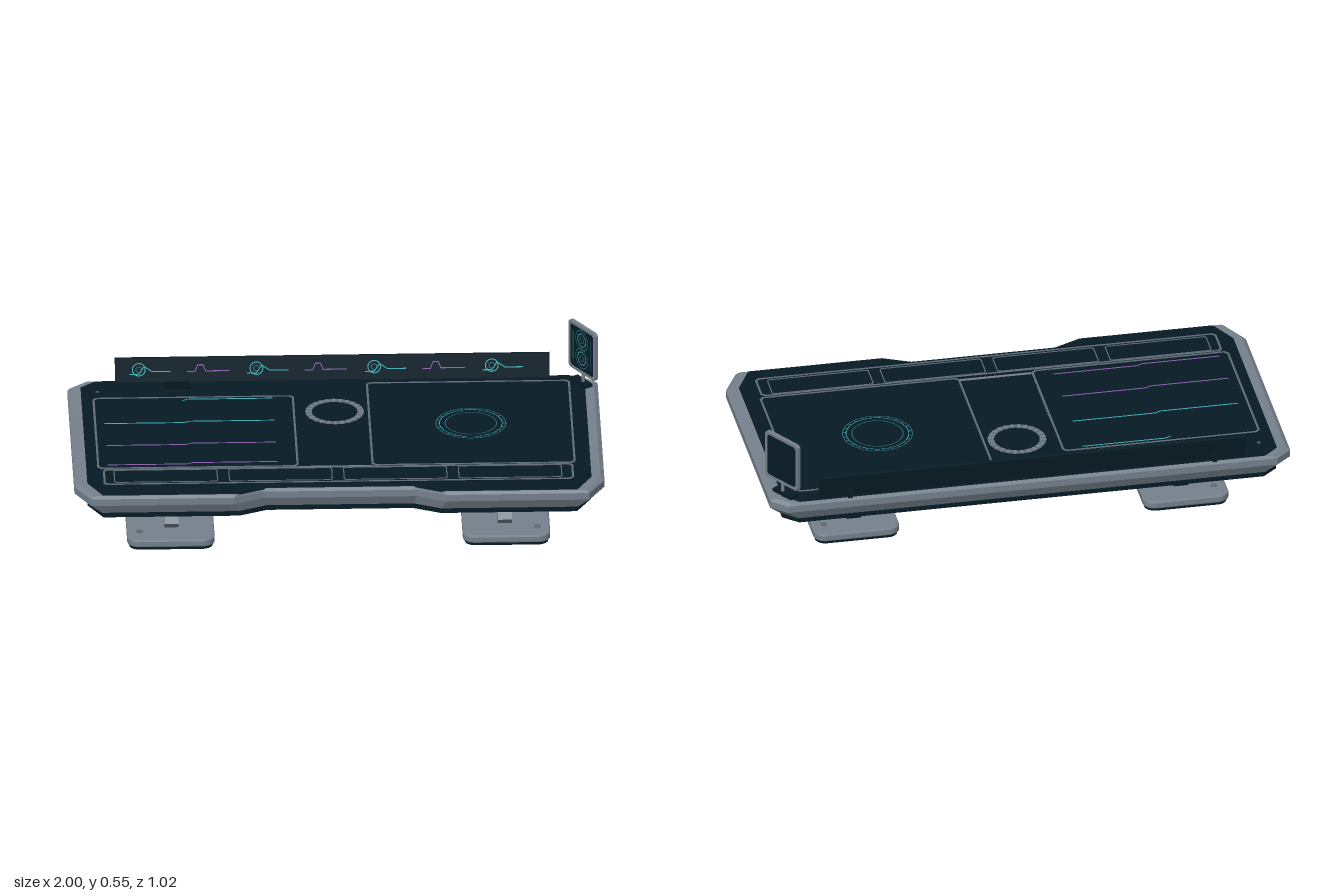
import * as THREE from 'three';

const mat = (name, color) => Object.assign(new THREE.MeshStandardMaterial({ color }), { name });

export function createModel() {
  const navy = mat('navy', 0x061b25);
  const screenDark = mat('screen dark', 0x04141c);
  const grey = mat('grey metal', 0x75818d);
  const slate = mat('slate trim', 0x5e6b76);
  const teal = mat('teal light', 0x3fb5bd);
  const dimTeal = mat('dim teal', 0x2a6670);
  const purple = mat('purple light', 0x8f62b5);

  const model = new THREE.Group();
  model.name = 'consoleDesk';

  const add = (parent, name, geo, material, x = 0, y = 0, z = 0) => {
    const m = new THREE.Mesh(geo, material);
    m.name = name;
    m.position.set(x, y, z);
    parent.add(m);
    return m;
  };
  const box = (parent, name, material, w, h, d, x, y, z) =>
    add(parent, name, new THREE.BoxGeometry(w, h, d), material, x, y, z);
  const group = (name, x = 0, y = 0, z = 0) => {
    const g = new THREE.Group();
    g.name = name;
    g.position.set(x, y, z);
    model.add(g);
    return g;
  };

  // Rectangle with cut corners, as a shape or a hole
  const cutRect = (x0, x1, y0, y1, c, Type = THREE.Shape) => {
    const p = [[x0 + c, y0], [x1 - c, y0], [x1, y0 + c], [x1, y1 - c],
      [x1 - c, y1], [x0 + c, y1], [x0, y1 - c], [x0, y0 + c]];
    return new Type(p.map(([x, y]) => new THREE.Vector2(x, y)));
  };
  const plate = (parent, name, material, x0, x1, y0, y1, depth, c, z) =>
    add(parent, name, new THREE.ExtrudeGeometry(cutRect(x0, x1, y0, y1, c),
      { depth, bevelEnabled: false }), material, 0, 0, z);
  const border = (parent, name, material, x0, x1, y0, y1, w, depth, c, z) => {
    const s = cutRect(x0, x1, y0, y1, c);
    s.holes.push(cutRect(x0 + w, x1 - w, y0 + w, y1 - w, c * 0.8, THREE.Path));
    return add(parent, name, new THREE.ExtrudeGeometry(s, { depth, bevelEnabled: false }), material, 0, 0, z);
  };
  // Thin glowing line through a list of points
  const trace = (parent, name, material, pts, w, z) => {
    for (let i = 1; i < pts.length; i++) {
      const [ax, ay] = pts[i - 1], [bx, by] = pts[i];
      const m = box(parent, name, material, Math.hypot(bx - ax, by - ay), w, 0.002,
        (ax + bx) / 2, (ay + by) / 2, z);
      m.rotation.z = Math.atan2(by - ay, bx - ax);
    }
  };
  const ring = (parent, name, material, r0, r1, x, y, z) =>
    add(parent, name, new THREE.RingGeometry(r0, r1, 48), material, x, y, z);

  // Desk outline with cut corners and a front recess
  const half = [[0.29, 0.463], [0.4, 0.513], [0.94, 0.513], [1, 0.4], [1, -0.455], [0.94, -0.508]];
  const outline = [...half, ...half.map(([x, z]) => [-x, z]).reverse()];
  // Layers: [y, x scale, z scale], lofted and capped
  const loft = (layers) => {
    const pos = [];
    const pt = ([y, sx, sz], i) => {
      const [x, z] = outline[i % outline.length];
      return [x * sx, y, z * sz];
    };
    for (let l = 1; l < layers.length; l++) {
      for (let i = 0; i < outline.length; i++) {
        const a = pt(layers[l - 1], i), b = pt(layers[l - 1], i + 1);
        const c = pt(layers[l], i + 1), d = pt(layers[l], i);
        pos.push(...a, ...b, ...c, ...a, ...c, ...d);
      }
    }
    const flat = outline.map(([x, z]) => new THREE.Vector2(x, z));
    const top = layers[layers.length - 1];
    for (const t of THREE.ShapeUtils.triangulateShape(flat, [])) {
      const [p, q, r] = t.map((i) => flat[i]);
      const up = (q.x - p.x) * (r.y - p.y) - (q.y - p.y) * (r.x - p.x) < 0;
      const [i, j, k] = up ? t : [t[0], t[2], t[1]];
      pos.push(...pt(top, i), ...pt(top, j), ...pt(top, k));
      pos.push(...pt(layers[0], i), ...pt(layers[0], k), ...pt(layers[0], j));
    }
    const g = new THREE.BufferGeometry();
    g.setAttribute('position', new THREE.Float32BufferAttribute(pos, 3));
    g.computeVertexNormals();
    return g;
  };

  add(model, 'deskFrame', loft([[0.227, 0.955, 0.962], [0.265, 1, 1], [0.292, 1, 1], [0.303, 0.985, 0.988]]), grey);
  add(model, 'underPlate', loft([[0.205, 0.95, 0.95], [0.23, 0.95, 0.95]]), navy);
  add(model, 'deskSurface', loft([[0.3, 0.952, 0.982], [0.306, 0.95, 0.98]]), navy);

  // Vent slots along both sides
  for (const s of [-1, 1]) {
    for (let i = 0; i < 9; i++) box(model, 'sideVent', navy, 0.014, 0.006, 0.034, s * 0.96, 0.232, 0.262 - i * 0.08);
  }

  // Surface panels and lights; local y runs towards the back
  const deck = group('deckPanels', 0, 0.309, 0);
  deck.rotation.x = -Math.PI / 2;
  const panel = (name, x0, x1, y0, y1, w) => {
    plate(deck, name, navy, x0, x1, y0, y1, 0.008, 0.014, -0.004);
    border(deck, name + 'Border', slate, x0, x1, y0, y1, w, 0.0095, 0.014, -0.004);
  };
  panel('leftPanel', -0.91, -0.15, -0.288, 0.335, 0.008);
  panel('rightPanel', 0.125, 0.895, -0.288, 0.44, 0.008);
  panel('frontPanel', -0.89, 0.885, -0.43, -0.294, 0.008);
  for (let i = 0; i < 4; i++) {
    const x = -0.85 + i * 0.433;
    border(deck, 'keyPad', slate, x, x + 0.392, -0.413, -0.303, 0.004, 0.006, 0.008, 0);
  }
  trace(deck, 'centreTrim', grey, [[-0.15, -0.28], [0.125, -0.28]], 0.012, -0.002);
  ring(deck, 'dialRing', slate, 0.086, 0.111, 0, 0.2, -0.001);
  for (let i = 0; i < 24; i++) {
    const a = (i / 24) * Math.PI * 2;
    const m = box(deck, 'dialTick', grey, 0.022, 0.01, 0.004, Math.cos(a) * 0.0985, 0.2 + Math.sin(a) * 0.0985, -0.001);
    m.rotation.z = a;
  }
  for (const [r, w, c] of [[0.134, 0.004, dimTeal], [0.12, 0.003, teal], [0.099, 0.004, dimTeal]]) {
    ring(deck, 'targetRing', c, r - w, r, 0.51, 0.068, 0.006);
  }
  for (let i = 0; i < 24; i++) {
    const a = (i / 24) * Math.PI * 2, c = Math.cos(a), s = Math.sin(a);
    trace(deck, 'targetTick', dimTeal, [[0.51 + c * 0.121, 0.068 + s * 0.121], [0.51 + c * 0.131, 0.068 + s * 0.131]], 0.003, 0.005);
  }
  [[0.302, teal, -0.57], [0.108, teal, -0.87], [-0.085, purple, -0.87], [-0.256, purple, -0.87]].forEach(([y, c, x]) =>
    trace(deck, 'signalLine', c, [[x, y], [-0.57, y], [-0.55, y + 0.011], [-0.23, y + 0.011]].slice(x > -0.6 ? 1 : 0), 0.0036, 0.005));
  plate(deck, 'rearHatch', screenDark, -0.635, -0.535, 0.42, 0.475, 0.006, 0.004, -0.004);
  add(deck, 'indicator', new THREE.CircleGeometry(0.007, 16), slate, -0.89, 0.402, -0.002);

  // Long tilted display along the back edge
  const rear = group('rearDisplay', 0, 0.354, -0.494);
  rear.rotation.x = -0.2;
  box(rear, 'rearScreen', navy, 1.64, 0.094, 0.014, 0, 0, 0);
  for (let i = 0; i < 7; i++) {
    const x = -0.73 + i * 0.222;
    const c = i % 2 ? purple : teal;
    if (i % 2) {
      trace(rear, 'waveform', c, [[x - 0.04, -0.008], [x - 0.01, -0.008], [x, 0.018], [x + 0.02, 0.018],
        [x + 0.03, -0.006], [x + 0.12, -0.006]], 0.0036, 0.008);
    } else {
      ring(rear, 'gaugeRing', c, 0.022, 0.026, x, 0.002, 0.009);
      ring(rear, 'gaugeCore', dimTeal, 0.009, 0.013, x, 0.002, 0.009);
      trace(rear, 'gaugeLine', c, [[x - 0.035, -0.016], [x, -0.016], [x + 0.02, 0.014], [x + 0.05, -0.006], [x + 0.12, -0.006]], 0.0036, 0.008);
    }
  }
  for (const s of [-1, 1]) box(model, 'displayBracket', navy, 0.018, 0.04, 0.02, s * 0.7, 0.322, -0.496);

  // Small angled side monitor
  const monitor = group('sideMonitor', 0.945, 0.447, -0.422);
  monitor.rotation.y = Math.atan2(-0.845, 0.535);
  plate(monitor, 'monitorBody', navy, -0.086, 0.086, -0.094, 0.094, 0.012, 0.008, -0.006);
  border(monitor, 'monitorBezel', grey, -0.089, 0.089, -0.098, 0.098, 0.012, 0.015, 0.01, -0.0075);
  for (const y of [0.04, -0.035]) {
    for (const r of [0.042, 0.028, 0.014]) ring(monitor, 'monitorRing', r === 0.028 ? teal : dimTeal, r - 0.004, r, 0, y, 0.007);
  }
  for (const s of [-1, 1]) trace(monitor, 'monitorLine', dimTeal, [[s * 0.06, -0.06], [s * 0.06, 0.06]], 0.004, 0.006);
  add(model, 'monitorStem', new THREE.CylinderGeometry(0.007, 0.007, 0.05, 16), grey, 0.945, 0.334, -0.423);
  const base = box(model, 'monitorBase', navy, 0.1, 0.012, 0.035, 0.938, 0.31, -0.43);
  base.rotation.y = monitor.rotation.y;

  // Under-desk tray with cooling fins
  box(model, 'tray', navy, 0.715, 0.042, 0.13, -0.007, 0.185, 0.145);
  for (let i = 0; i < 4; i++) box(model, 'trayFin', i % 2 ? slate : navy, 0.63, 0.005, 0.012, -0.007, 0.17 + i * 0.01, 0.215);

  // Beam between two (z, y) points at a given x
  const beam = (parent, name, material, x, t, w, [z0, y0], [z1, y1]) => {
    const m = box(parent, name, material, t, w, Math.hypot(z1 - z0, y1 - y0), x, (y0 + y1) / 2, (z0 + z1) / 2);
    m.rotation.x = -Math.atan2(y1 - y0, z1 - z0);
  };
  // Rounded foot slab lying flat
  const slab = (w, d, h, r, bevel) => {
    const s = new THREE.Shape();
    const a = w / 2 - bevel, b = d / 2 - bevel;
    s.absarc(a - r, b - r, r, 0, Math.PI / 2);
    s.absarc(-a + r, b - r, r, Math.PI / 2, Math.PI);
    s.absarc(-a + r, -b + r, r, Math.PI, Math.PI * 1.5);
    s.absarc(a - r, -b + r, r, Math.PI * 1.5, Math.PI * 2);
    const g = new THREE.ExtrudeGeometry(s, { depth: h - 2 * bevel, bevelEnabled: bevel > 0,
      bevelSize: bevel, bevelThickness: bevel, bevelSegments: 2, curveSegments: 6 });
    return g.rotateX(-Math.PI / 2).translate(0, bevel, 0);
  };

  // Two mirrored foot and leg assemblies
  for (const s of [-1, 1]) {
    const leg = group(s > 0 ? 'leftLeg' : 'rightLeg');
    add(leg, 'foot', slab(0.33, 0.667, 0.03, 0.04, 0.006), grey, s * 0.633, 0.011, 0.017);
    add(leg, 'footSole', slab(0.315, 0.652, 0.014, 0.04, 0), navy, s * 0.633, 0, 0.017);
    for (const z of [0.27, -0.235]) {
      add(leg, 'footBolt', new THREE.CylinderGeometry(0.013, 0.013, 0.005, 16), slate, s * 0.75, 0.042, z);
    }
    beam(leg, 'frontStrut', grey, s * 0.629, 0.054, 0.062, [0.243, 0.047], [0.1, 0.2]);
    beam(leg, 'rearStrut', navy, s * 0.629, 0.056, 0.078, [0.072, 0.198], [-0.214, 0.046]);
    beam(leg, 'strutLight', dimTeal, s * 0.665, 0.006, 0.007, [0.04, 0.188], [-0.17, 0.067]);
    // Pins holding the light bar to the strut
    for (const [y, z] of [[0.17, 0.01], [0.085, -0.138]]) box(leg, 'lightPin', navy, 0.012, 0.005, 0.005, s * 0.658, y, z);
  }
  box(model, 'crossBar', navy, 1.24, 0.04, 0.04, 0, 0.063, 0.073);

  return model;
}
